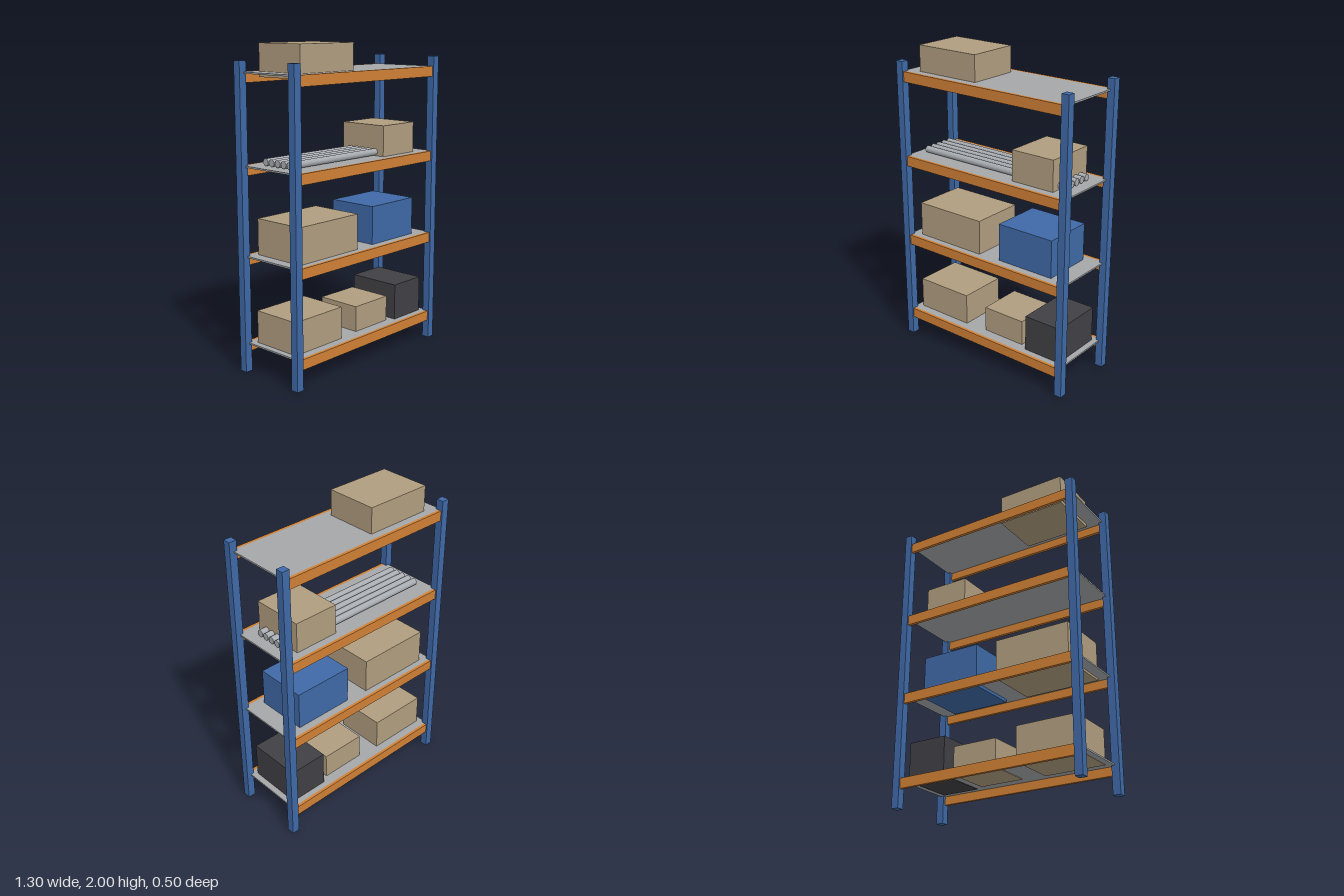
import * as THREE from 'three';

export function createModel() {
  const model = new THREE.Group();
  model.name = 'storageRack';

  const mat = (name, color) => {
    const m = new THREE.MeshStandardMaterial({ color });
    m.name = name;
    return m;
  };
  const blue = mat('blue', 0x3f69a6);
  const orange = mat('orange', 0xd08035);
  const grey = mat('deckGrey', 0xa4a6a9);
  const steel = mat('pipeSteel', 0xa9adb2);
  const cardboard = mat('cardboard', 0xb09d7f);
  const black = mat('black', 0x404045);

  // Box given by its lower and upper corners
  const block = (name, material, [x0, y0, z0], [x1, y1, z1]) => {
    const mesh = new THREE.Mesh(new THREE.BoxGeometry(x1 - x0, y1 - y0, z1 - z0), material);
    mesh.position.set((x0 + x1) / 2, (y0 + y1) / 2, (z0 + z1) / 2);
    mesh.name = name;
    model.add(mesh);
  };

  // Corner posts
  for (const x of [-0.625, 0.625]) {
    for (const z of [-0.225, 0.225]) {
      block('post', blue, [x - 0.025, 0, z - 0.025], [x + 0.025, 1.9, z + 0.025]);
    }
  }

  // Four shelves, each a deck between two beams
  for (const top of [0.185, 0.735, 1.285, 1.835]) {
    block('deck', grey, [-0.62, top - 0.01, -0.22], [0.62, top, 0.22]);
    for (const z of [-0.23, 0.23]) {
      block('beam', orange, [-0.64, top - 0.065, z - 0.01], [0.64, top, z + 0.01]);
    }
  }

  // Stored boxes: name, material, x from, x to, bottom, top, half depth
  const goods = [
    ['largeCarton', cardboard, -0.58, -0.18, 0.172, 0.39, 0.165],
    ['smallCarton', cardboard, -0.03, 0.27, 0.172, 0.35, 0.15],
    ['blackCrate', black, 0.32, 0.58, 0.172, 0.42, 0.18],
    ['wideCarton', cardboard, -0.55, -0.05, 0.71, 0.96, 0.18],
    ['blueCrate', blue, 0.1, 0.5, 0.705, 0.98, 0.17],
    ['cubeCarton', cardboard, 0.2, 0.5, 1.28, 1.48, 0.17],
    ['topCarton', cardboard, -0.525, -0.08, 1.803, 2.0, 0.17],
  ];
  for (const [name, material, x0, x1, y0, y1, d] of goods) {
    block(name, material, [x0, y0, -d], [x1, y1, d]);
  }

  // Row of pipes on the third shelf
  const pipeGeometry = new THREE.CylinderGeometry(0.022, 0.022, 1.1, 16).rotateZ(Math.PI / 2);
  for (let i = -2; i <= 2; i++) {
    const pipe = new THREE.Mesh(pipeGeometry, steel);
    pipe.position.set(0, 1.31, i * 0.05);
    pipe.name = 'pipe';
    model.add(pipe);
  }

  return model;
}
